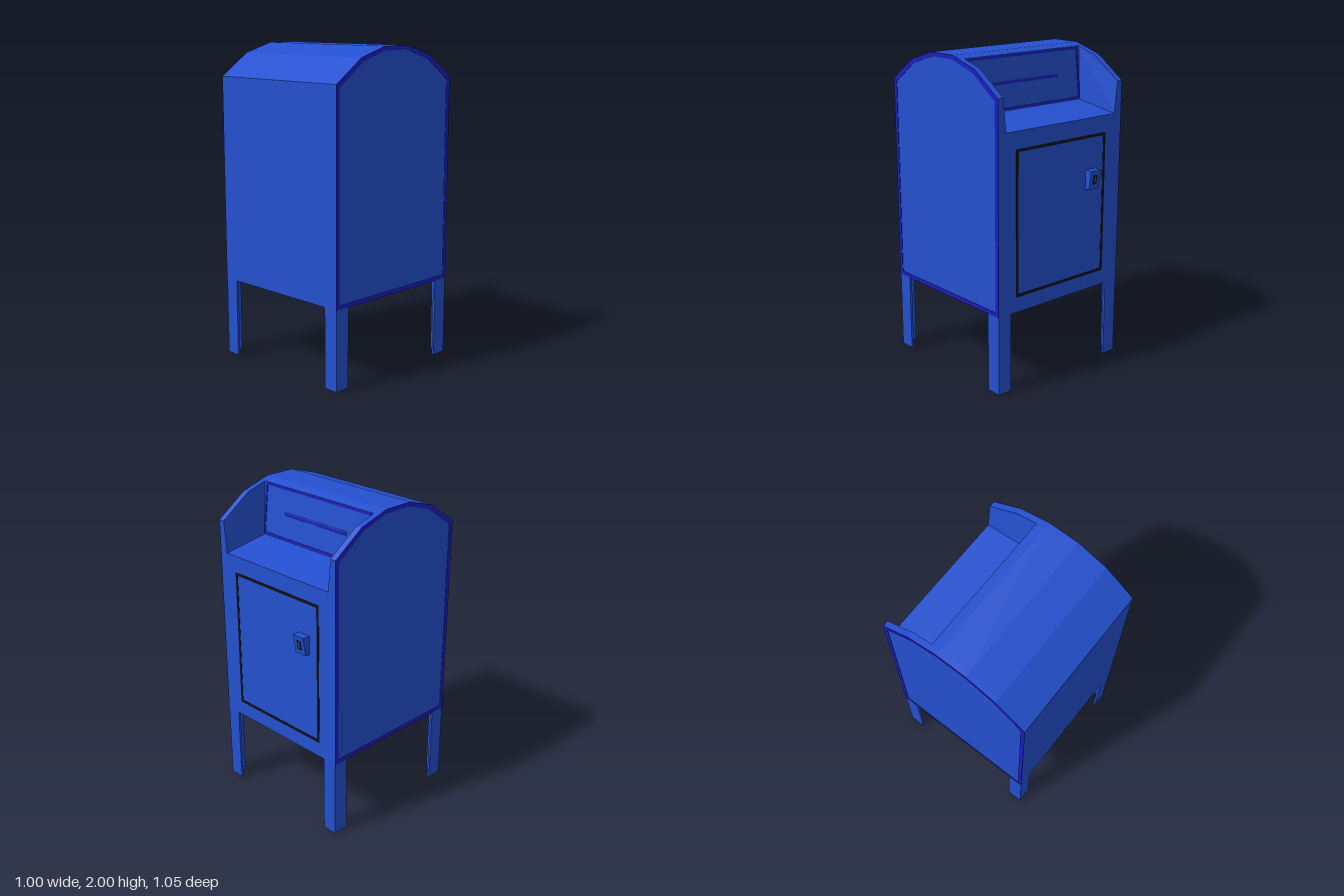
import * as THREE from 'three';

const paint = (color) => new THREE.MeshStandardMaterial({ color, flatShading: true });

export function createModel() {
  const model = new THREE.Group();
  const blue = paint(0x2450d0), navy = paint(0x1a1fc0), black = paint(0x111116);

  const add = (name, geometry, material, parent = model) => {
    const mesh = new THREE.Mesh(geometry, material);
    mesh.name = name;
    parent.add(mesh);
    return mesh;
  };
  const shapeOf = (points) => new THREE.Shape(points.map(([a, b]) => new THREE.Vector2(a, b)));

  // Extrude a (z, y) outline across the model from x0 to x1
  const across = (shape, x0, x1) =>
    new THREE.ExtrudeGeometry(shape, { depth: x1 - x0, bevelEnabled: false })
      .rotateY(-Math.PI / 2).translate(x1, 0, 0);

  // Flat rectangular border, centred on the origin
  const frame = (w, h, t, depth) => {
    const rect = (a, b) => [[-a, -b], [a, -b], [a, b], [-a, b]];
    const shape = shapeOf(rect(w / 2, h / 2));
    shape.holes.push(shapeOf(rect(w / 2 - t, h / 2 - t)));
    return new THREE.ExtrudeGeometry(shape, { depth, bevelEnabled: false }).translate(0, 0, -depth / 2);
  };

  // Body with the stepped posting recess at the back
  const front = [[0.525, 0.5], [0.525, 1.8], [0.325, 1.94], [0.125, 2], [-0.075, 2]];
  const side = [...front, [-0.275, 1.94], [-0.475, 1.8], [-0.475, 0.5]];
  const middle = [...front, [-0.135, 1.982], [-0.17, 1.65], [-0.475, 1.6], [-0.475, 0.5]];
  add('body', across(shapeOf(middle), -0.46, 0.46), blue);

  // Side plates with a dark edge trim
  const trim = shapeOf(side);
  trim.holes.push(shapeOf(side.map(([z, y]) =>
    [0.025 + (z - 0.025) * 0.945, 1.25 + (y - 1.25) * 0.966])));
  const cheek = [[-0.135, 1.982], [-0.275, 1.94], [-0.475, 1.8], [-0.475, 1.6], [-0.17, 1.65]];
  for (const s of [-1, 1]) {
    const label = s > 0 ? 'left' : 'right';
    const span = (shape, a, b) => across(shape, Math.min(s * a, s * b), Math.max(s * a, s * b));
    add(label + 'SidePlate', span(shapeOf(side), 0.46, 0.497), blue);
    add(label + 'SideTrim', span(trim, 0.497, 0.5), navy);

    // Recess wall, leaning inward towards the floor
    const wall = span(shapeOf(cheek), 0.44, 0.46);
    const p = wall.attributes.position;
    for (let i = 0; i < p.count; i++) if (p.getY(i) > 1.7) p.setX(i, s * 0.46);
    wall.computeVertexNormals();
    add(label + 'RecessWall', wall, blue);
  }

  // Sloping panel in the recess, with its border and letter slot
  const panel = new THREE.Group();
  panel.name = 'slotPanel';
  panel.position.set(0, 1.816, -0.1525);
  panel.rotation.x = Math.atan2(0.035, 0.332);
  model.add(panel);
  add('panelBorder', frame(0.89, 0.325, 0.014, 0.006), navy, panel);
  add('slotRim', frame(0.53, 0.028, 0.006, 0.008), blue, panel);
  add('slot', new THREE.BoxGeometry(0.518, 0.016, 0.004), navy, panel);

  // Door outline in the back
  add('doorGap', frame(0.73, 0.9, 0.018, 0.004), black).position.set(0, 1.045, -0.475);

  // Wedge-shaped door lock
  const wedge = [[-0.47, 1.16], [-0.505, 1.16], [-0.525, 1.28], [-0.47, 1.28]];
  add('lock', across(shapeOf(wedge), -0.285, -0.2), blue);
  const keyhole = new THREE.Group();
  keyhole.name = 'keyhole';
  keyhole.position.set(-0.2425, 1.22, -0.515);
  keyhole.rotation.x = -Math.atan2(0.02, 0.12);
  model.add(keyhole);
  add('keyholeRecess', new THREE.BoxGeometry(0.034, 0.06, 0.003), black, keyhole);
  add('keyholeBar', new THREE.BoxGeometry(0.012, 0.04, 0.005), blue, keyhole);

  // Four angle-iron legs
  const angle = [[0, 0], [0.095, 0], [0.095, 0.015], [0.015, 0.015], [0.015, 0.1], [0, 0.1]];
  for (const sx of [-1, 1]) for (const sz of [-1, 1]) {
    // Outline in (x, -z), measured inward from the outer corner
    const outline = angle.map(([a, b]) => [sx * (0.497 - a), -(0.025 + sz * (0.4995 - b))]);
    const leg = new THREE.ExtrudeGeometry(shapeOf(outline), { depth: 0.5, bevelEnabled: false });
    add((sz > 0 ? 'front' : 'back') + (sx > 0 ? 'Left' : 'Right') + 'Leg', leg.rotateX(-Math.PI / 2), blue);
  }
  return model;
}
